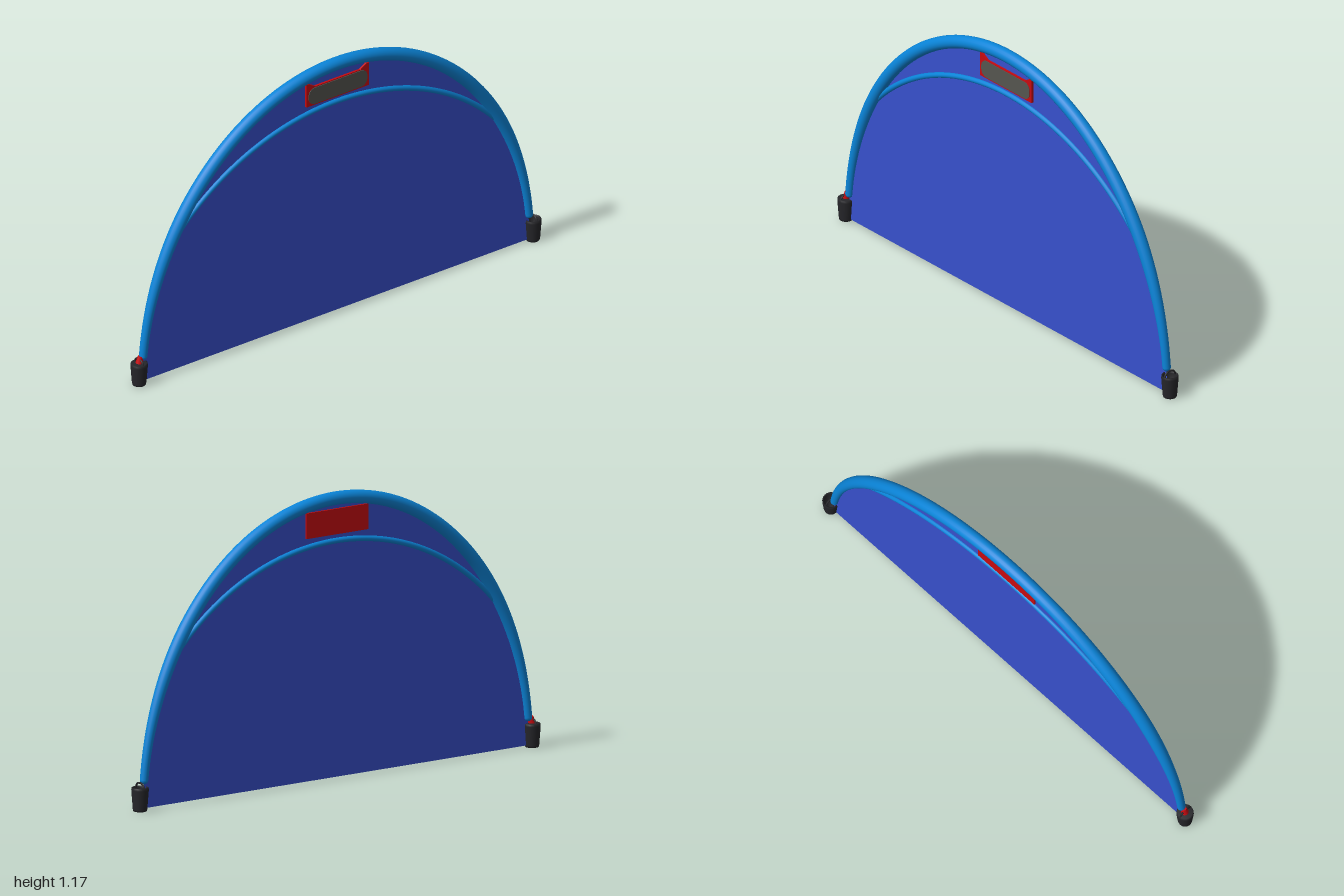
import * as THREE from 'three';

const mat = (color, side = THREE.FrontSide) => new THREE.MeshStandardMaterial({ color, side });
const blue = mat(0x0a84d8);
const sailBlue = mat(0x3850cc, THREE.DoubleSide);
const red = mat(0xc80a10);
const grey = mat(0x55554f);
const black = mat(0x26262a, THREE.DoubleSide);

function add(parent, name, geometry, material, x = 0, y = 0, z = 0) {
  const mesh = new THREE.Mesh(geometry, material);
  mesh.name = name;
  mesh.position.set(x, y, z);
  parent.add(mesh);
  return mesh;
}

// Points of an elliptical arch, cut off at height yEnd on both sides
function archPoints(a, b, yEnd, n) {
  const start = Math.asin(yEnd / b);
  return Array.from({ length: n + 1 }, (_, i) => {
    const t = start + (Math.PI - 2 * start) * i / n;
    return new THREE.Vector3(a * Math.cos(t), b * Math.sin(t), 0);
  });
}

// Tube whose radius follows radiusAt(centre point)
function taperedTube(curve, segments, sides, radiusAt) {
  const geo = new THREE.TubeGeometry(curve, segments, 1, sides, false);
  const pos = geo.attributes.position, v = new THREE.Vector3();
  for (let i = 0; i <= segments; i++) {
    const c = curve.getPointAt(i / segments), r = radiusAt(c);
    for (let j = 0; j <= sides; j++) {
      const k = i * (sides + 1) + j;
      v.fromBufferAttribute(pos, k).sub(c).multiplyScalar(r).add(c);
      pos.setXYZ(k, v.x, v.y, v.z);
    }
  }
  return geo;
}

function roundedRect(w, h, r) {
  const s = new THREE.Shape();
  s.moveTo(-w / 2 + r, -h / 2);
  s.lineTo(w / 2 - r, -h / 2);
  s.absarc(w / 2 - r, -h / 2 + r, r, -Math.PI / 2, 0);
  s.absarc(w / 2 - r, h / 2 - r, r, 0, Math.PI / 2);
  s.absarc(-w / 2 + r, h / 2 - r, r, Math.PI / 2, Math.PI);
  s.absarc(-w / 2 + r, -h / 2 + r, r, Math.PI, Math.PI * 1.5);
  return s;
}

// Weighted cup with a hanging loop; side is the sign of x
function makeFoot(side) {
  const foot = new THREE.Group();
  foot.name = side > 0 ? 'leftFoot' : 'rightFoot';
  foot.position.x = side * 0.963;
  const profile = [[0, 0.002], [0.027, 0.002], [0.029, 0.01], [0.035, 0.088], [0.034, 0.097], [0.03, 0.099]];
  if (side > 0) profile.push([0.028, 0.09], [0.022, 0.03], [0, 0.03]);
  else profile.push([0, 0.1]);
  add(foot, 'footBag', new THREE.LatheGeometry(profile.map(p => new THREE.Vector2(...p)), 20), black);
  const loop = new THREE.CatmullRomCurve3([[-0.03, 0.092], [-0.02, 0.11], [0, 0.116], [0.02, 0.11], [0.03, 0.092]]
    .map(([z, y]) => new THREE.Vector3(0, y, z)));
  add(foot, 'footLoop', new THREE.TubeGeometry(loop, 14, 0.004, 6), black);
  // Red tie on one side only
  if (side < 0) {
    const tie = add(foot, 'footTie', new THREE.CylinderGeometry(0.011, 0.016, 0.03, 10), red, 0.004, 0.112, 0);
    tie.rotation.z = -0.2;
  }
  return foot;
}

export function createModel() {
  const model = new THREE.Group();
  model.name = 'archGate';

  // Main inflated arch, thinner towards the ground
  const arch = new THREE.CatmullRomCurve3(archPoints(0.949, 1.145, 0.125, 48));
  const archRadius = c => 0.017 + 0.01 * THREE.MathUtils.smoothstep(c.y, 0.1, 0.75);
  add(model, 'archTube', taperedTube(arch, 96, 20, archRadius), blue);
  for (const end of [0, 1]) {
    const p = arch.getPointAt(end);
    add(model, 'archEnd', new THREE.SphereGeometry(archRadius(p), 16, 10), blue, p.x, p.y, p.z);
  }

  // Slender inner arch
  const R = 1.047, half = Math.asin(0.79 / R);
  const innerPoints = Array.from({ length: 25 }, (_, i) => {
    const t = half - 2 * half * i / 24;
    return new THREE.Vector3(R * Math.sin(t), 0.972 - R + R * Math.cos(t), 0);
  });
  add(model, 'innerTube', new THREE.TubeGeometry(new THREE.CatmullRomCurve3(innerPoints), 64, 0.0115, 12), blue);

  // Fabric panel filling the arch
  const sail = new THREE.Shape(archPoints(0.947, 1.143, 0.01, 64).map(p => new THREE.Vector2(p.x, p.y)));
  add(model, 'fabric', new THREE.ShapeGeometry(sail), sailBlue);

  // Sign: plain plate behind, notched frame in front, rounded grey face
  const sign = new THREE.Group();
  sign.name = 'sign';
  model.add(sign);
  add(sign, 'signBack', new THREE.BoxGeometry(0.305, 0.104, 0.008), red, 0, 1.052, -0.006);
  const frame = new THREE.Shape([[-0.153, 1], [0.153, 1], [0.153, 1.104], [0.142, 1.104], [0.11, 1.084],
    [-0.11, 1.084], [-0.142, 1.104], [-0.153, 1.104]].map(p => new THREE.Vector2(...p)));
  add(sign, 'signFrame', new THREE.ExtrudeGeometry(frame, { depth: 0.01, bevelEnabled: false }), red, 0, 0, 0.002);
  // Fabric strip seen above the notch
  const strip = new THREE.Shape([[-0.14, 1.102], [-0.11, 1.084], [0.11, 1.084], [0.14, 1.102]]
    .map(p => new THREE.Vector2(...p)));
  add(sign, 'signTopStrip', new THREE.ShapeGeometry(strip), sailBlue, 0, 0, 0.003);
  const face = new THREE.ExtrudeGeometry(roundedRect(0.285, 0.074, 0.03), { depth: 0.005, bevelEnabled: false, curveSegments: 8 });
  add(sign, 'signFace', face, grey, 0, 1.043, 0.01);

  // Feet
  for (const side of [1, -1]) model.add(makeFoot(side));
  return model;
}
